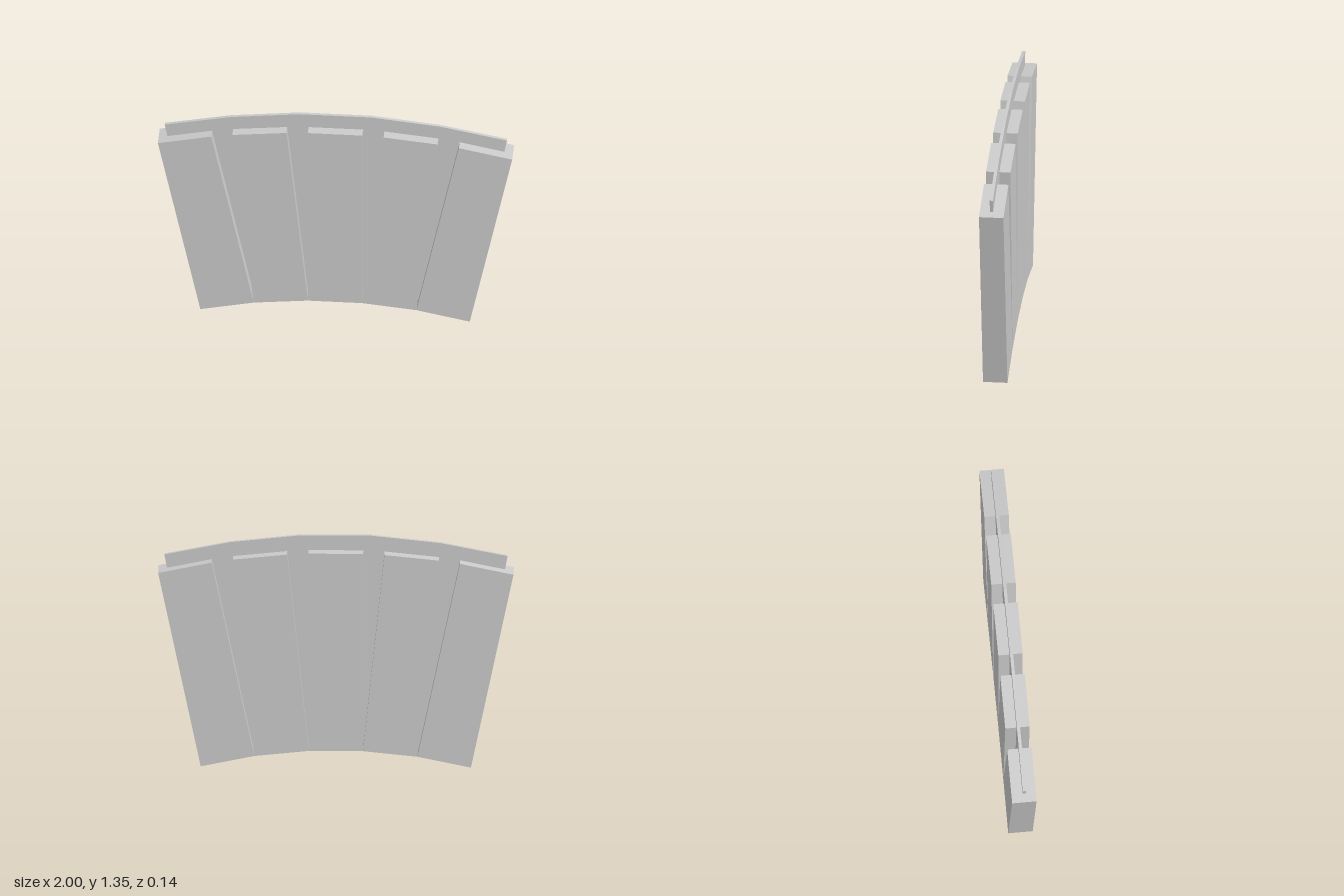
import * as THREE from 'three';

export function createModel() {
  const group = new THREE.Group();
  const material = new THREE.MeshStandardMaterial({ color: 0xcccccc, flatShading: true });

  // Five blocks fanned out around a centre far below the arch
  const width = 0.307, height = 1.17, depth = 0.138;
  const step = THREE.MathUtils.degToRad(5.9);
  const innerRadius = width / 2 / Math.tan(step / 2);
  const centreY = 0.1 - innerRadius;
  const blockGeometry = new THREE.BoxGeometry(width, height, depth);
  for (let i = -2; i <= 2; i++) {
    const angle = i * step, r = innerRadius + height / 2;
    const block = new THREE.Mesh(blockGeometry, material);
    block.name = 'archBlock' + (i + 3);
    block.position.set(Math.sin(angle) * r, centreY + Math.cos(angle) * r, 0);
    block.rotation.z = -angle;
    group.add(block);
  }

  // Thin web running through the blocks and standing proud of their tops
  const half = [[0.15, 0.13], [0.45, 0.1], [0.73, 0.05], [0.965, 1.24], [0.59, 1.315], [0.2, 1.357]];
  const outline = [...half, ...half.map(([x, y]) => [-x, y]).reverse()];
  const shape = new THREE.Shape(outline.map(([x, y]) => new THREE.Vector2(x, y)));
  const thickness = 0.018;
  const webGeometry = new THREE.ExtrudeGeometry(shape, { depth: thickness, bevelEnabled: false });
  webGeometry.translate(0, 0, 0.003 - thickness / 2);
  const web = new THREE.Mesh(webGeometry, material);
  web.name = 'centreWeb';
  group.add(web);

  return group;
}
